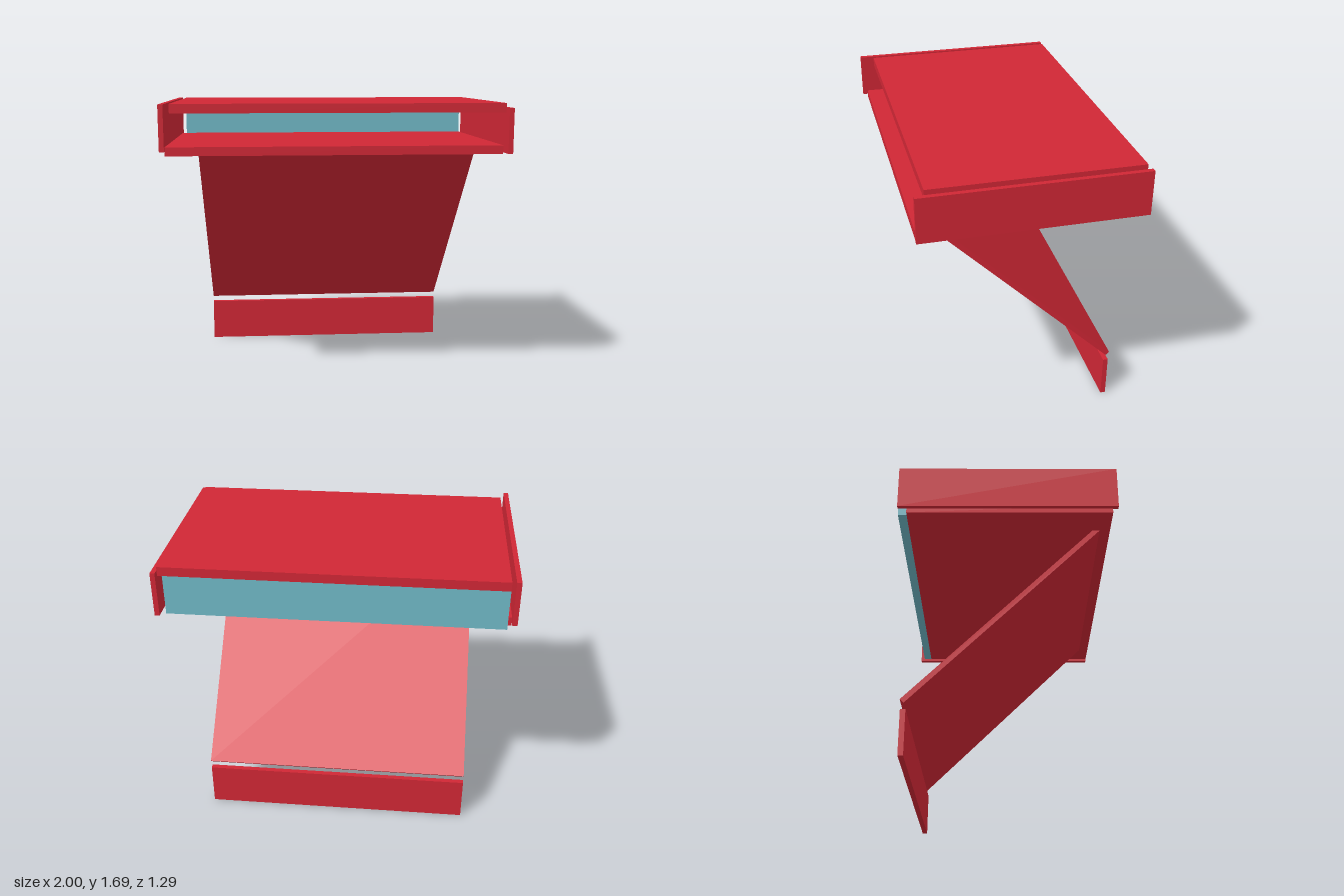
import * as THREE from 'three';

const red = new THREE.MeshStandardMaterial({ color: 0xd02735 });
const teal = new THREE.MeshStandardMaterial({ color: 0x70b8c6 });

export function createModel() {
  const group = new THREE.Group();

  // Board given by its extents along x, y and z
  function board(name, [x0, x1], [y0, y1], [z0, z1], material = red) {
    const mesh = new THREE.Mesh(new THREE.BoxGeometry(x1 - x0, y1 - y0, z1 - z0), material);
    mesh.position.set((x0 + x1) / 2, (y0 + y1) / 2, (z0 + z1) / 2);
    mesh.name = name;
    group.add(mesh);
    return mesh;
  }

  // Open-fronted box of overlapping, slightly offset boards
  board('topBoard', [-0.947, 0.968], [1.634, 1.687], [-0.617, 0.563]);
  board('bottomBoard', [-0.973, 0.942], [1.4, 1.45], [-0.567, 0.615]);
  board('rightSide', [-1, -0.972], [1.426, 1.687], [-0.617, 0.645]);
  board('leftSide', [0.972, 1], [1.4, 1.661], [-0.645, 0.617]);
  board('backBoard', [-0.947, 0.942], [1.4, 1.634], [-0.617, -0.567], teal);

  // Support panel leaning at 45 degrees under the box
  const slope = board('slopedPanel', [-0.79, 0.786], [0, 1.574], [-0.015, 0.015]);
  slope.position.set(-0.002, 0.866, -0.002);
  slope.rotation.x = Math.PI / 4;

  // Upright foot panel
  board('footPanel', [-0.79, 0.786], [0, 0.263], [-0.565, -0.535]);

  return group;
}
